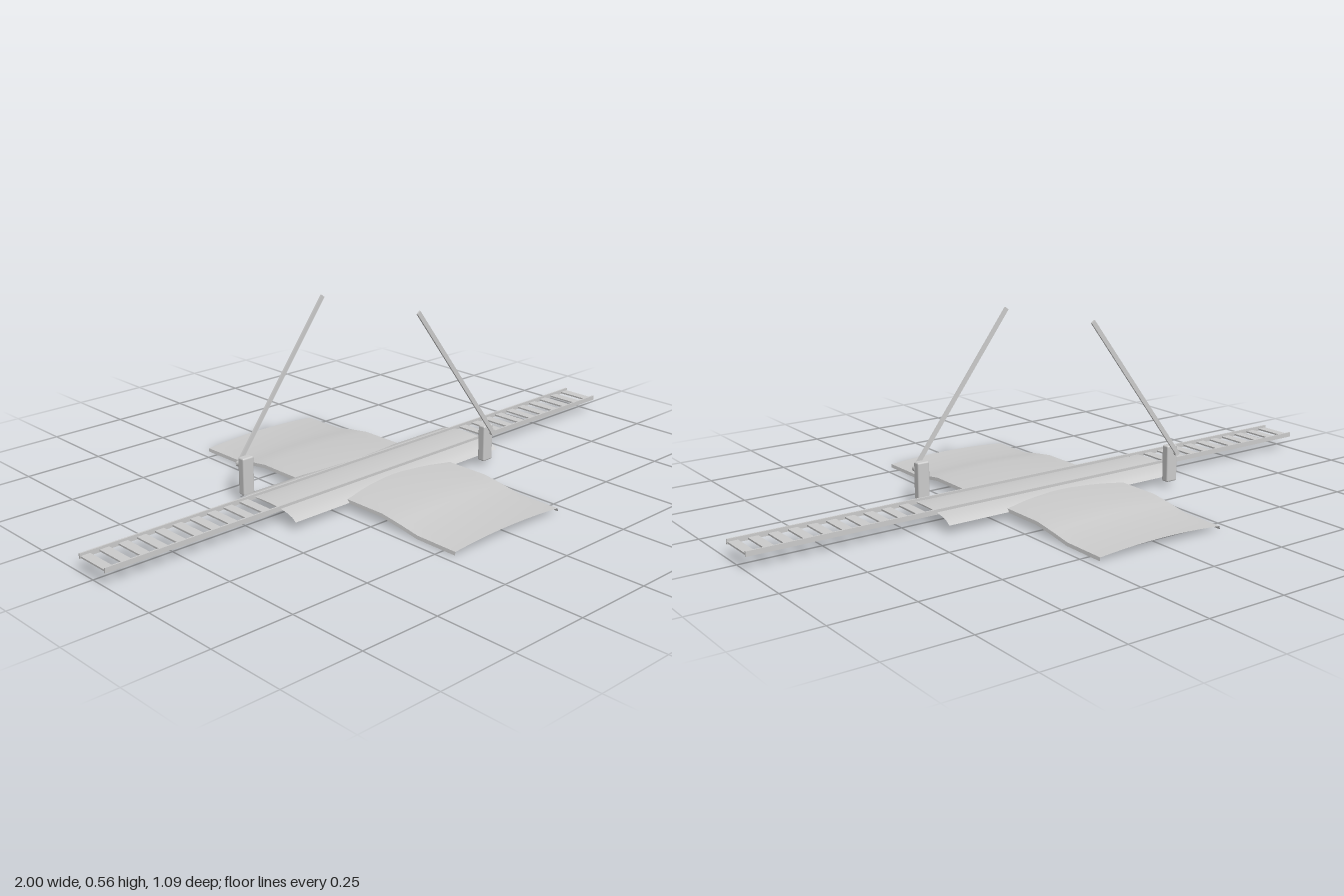
import * as THREE from 'three';
import { toCreasedNormals } from 'three/addons/utils/BufferGeometryUtils.js';
import { RoundedBoxGeometry } from 'three/addons/geometries/RoundedBoxGeometry.js';

const solid = new THREE.MeshStandardMaterial({ color: 0xcccccc });
const sheet = new THREE.MeshStandardMaterial({ color: 0xcccccc, side: THREE.DoubleSide });

function add(parent, name, geometry, material, x = 0, y = 0, z = 0) {
  const mesh = new THREE.Mesh(geometry, material);
  mesh.name = name;
  mesh.position.set(x, y, z);
  parent.add(mesh);
  return mesh;
}

// Skin a list of cross-sections, each an array of [x, y, z]
function skin(sections) {
  const n = sections[0].length, index = [];
  for (let i = 0; i < sections.length - 1; i++) {
    for (let j = 0; j < n - 1; j++) {
      const a = i * n + j, b = a + n;
      index.push(a, b, a + 1, a + 1, b, b + 1);
    }
  }
  const g = new THREE.BufferGeometry();
  g.setAttribute('position', new THREE.Float32BufferAttribute(sections.flat(2), 3));
  g.setIndex(index);
  return toCreasedNormals(g, 0.6);
}

export function createModel() {
  const model = new THREE.Group();
  model.name = 'levelCrossing';

  // Crowned road ramps with a low skirt on each side: [z, crown height]
  const ramp = [[0.08, 0.043], [0.26, 0.043], [0.33, 0.033], [0.4, 0.021], [0.543, 0.02]];
  const half = 0.217;
  const roadSections = ramp.map(([z, y]) => {
    const row = [[-half, y - 0.02, z]];
    for (let i = 0; i <= 12; i++) {
      const t = i / 6 - 1;
      row.push([t * (half - 0.002), y - 0.01 * t * t, z]);
    }
    row.push([half, y - 0.02, z]);
    return row;
  });
  const roadGeometry = skin(roadSections);
  for (const side of [1, -1]) {
    const road = add(model, side > 0 ? 'frontRoad' : 'backRoad', roadGeometry, sheet);
    road.rotation.y = side > 0 ? 0 : Math.PI;
  }

  // Arched track bed
  const halfBed = [[0, 0.05], [0.03, 0.0495], [0.06, 0.047], [0.09, 0.042], [0.112, 0.035], [0.126, 0.025]];
  const bed = [...halfBed.slice(1).reverse().map(([z, y]) => [-z, y]), ...halfBed];
  add(model, 'trackBed', skin([-0.42, 0.42].map(x => bed.map(([z, y]) => [x, y, z]))), sheet);

  // Rails
  for (const z of [-0.059, 0.059]) {
    add(model, 'rail', new THREE.BoxGeometry(2, 0.015, 0.005), solid, 0, 0.0475, z);
  }

  // Sleepers on the open track beyond the bed
  const sleeper = new THREE.BoxGeometry(0.03, 0.005, 0.116);
  for (let i = 0; i < 11; i++) {
    for (const side of [-1, 1]) add(model, 'sleeper', sleeper, solid, side * (0.983 - i * 0.0583), 0.045, 0);
  }

  // Barriers: a post with a raised arm on its outer face
  for (const [x, side] of [[0.34, 1], [-0.375, -1]]) {
    const barrier = new THREE.Group();
    barrier.name = side > 0 ? 'frontBarrier' : 'backBarrier';
    barrier.position.set(x, 0, side * 0.148);
    barrier.rotation.y = side > 0 ? 0 : Math.PI;
    model.add(barrier);
    add(barrier, 'post', new RoundedBoxGeometry(0.04, 0.116, 0.026, 2, 0.005), solid, 0, 0.076, 0);

    const pivot = add(barrier, 'pivot', new THREE.CylinderGeometry(0.009, 0.009, 0.012, 12), solid, 0.012, 0.11, 0.016);
    pivot.rotation.x = Math.PI / 2;

    const foot = new THREE.Vector2(0.016, 0.105);
    const tip = new THREE.Vector2(-0.323, 0.557);
    const along = tip.clone().sub(foot);
    const arm = add(barrier, 'arm', new THREE.BoxGeometry(along.length(), 0.014, 0.005), solid,
      (foot.x + tip.x) / 2, (foot.y + tip.y) / 2, 0.019);
    arm.rotation.z = along.angle();
  }

  return model;
}
